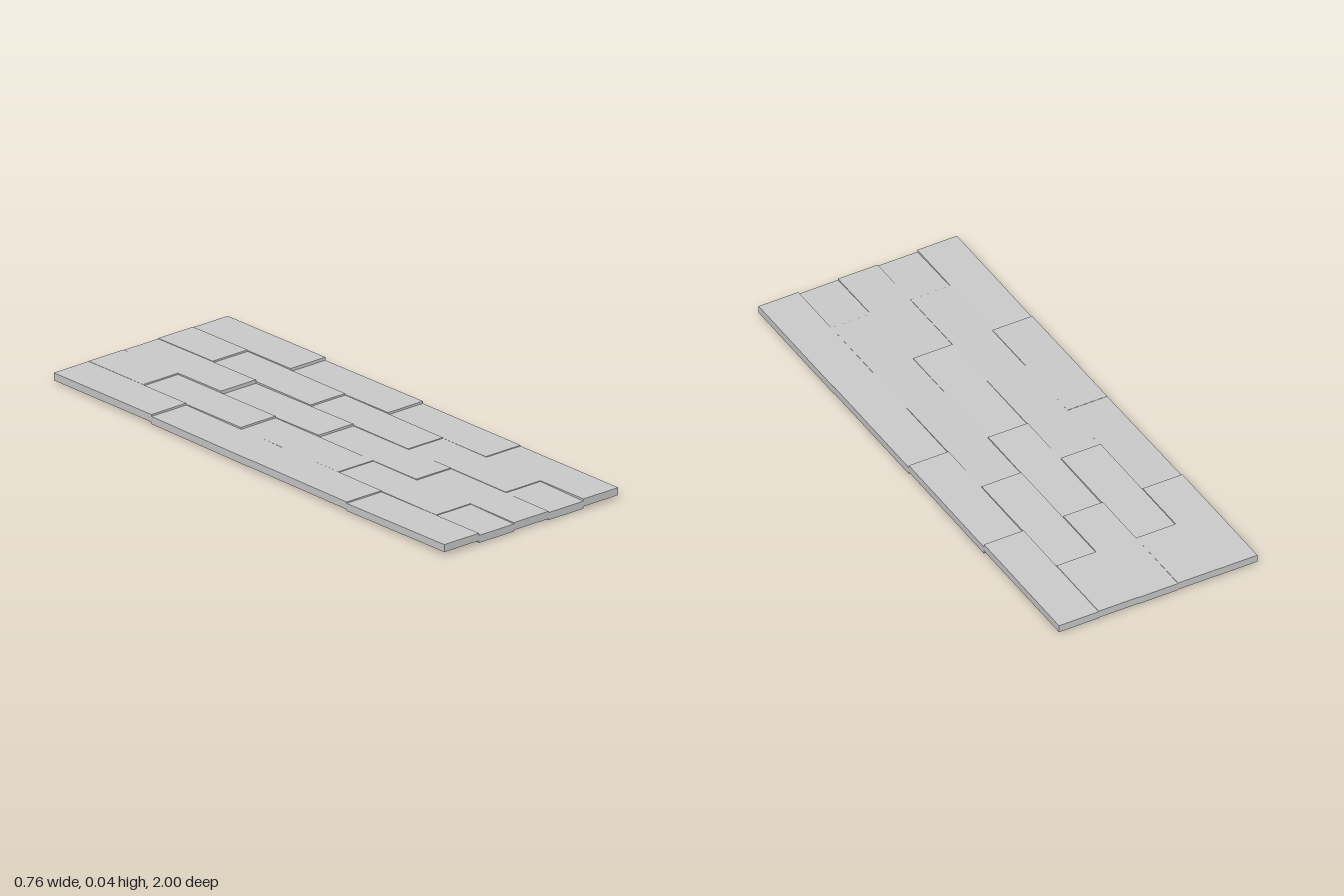
import * as THREE from 'three';

const WIDTH = 0.153, THICK = 0.027;

// Rows of planks from the front end to the back end: z of the seams,
// and for each plank the underside height at its front and back ends.
const EVEN = [1, 0.5, 0, -0.5, -1];
const STAGGERED = [1, 0.78, 0.28, -0.22, -0.72, -1];
const ROWS = [
  { seams: EVEN, ends: [[0.012, 0.004], [0.009, 0.006], [0.005, 0.004], [0.011, 0.005]] },
  { seams: STAGGERED, ends: [[0.004, 0.006], [0.009, 0.005], [0.008, 0.004], [0.011, 0.004], [0.009, 0.006]] },
  { seams: EVEN, ends: [[0.009, 0.005], [0.009, 0.003], [0.011, 0], [0.013, 0.004]] },
  { seams: STAGGERED, ends: [[0.004, 0.006], [0.009, 0.005], [0.008, 0.004], [0.01, 0.005], [0.011, 0.006]] },
  { seams: EVEN, ends: [[0.012, 0.005], [0.008, 0.002], [0.01, 0.001], [0.012, 0.004]] },
];

// A box whose ends rest at different heights
function plank(x, zFront, zBack, yFront, yBack, material) {
  const geometry = new THREE.BoxGeometry(WIDTH, THICK, zFront - zBack);
  const p = geometry.attributes.position;
  for (let i = 0; i < p.count; i++) {
    p.setY(i, p.getY(i) + THICK / 2 + (p.getZ(i) > 0 ? yFront : yBack));
  }
  geometry.computeVertexNormals();
  const mesh = new THREE.Mesh(geometry, material);
  mesh.position.set(x, 0, (zFront + zBack) / 2);
  return mesh;
}

export function createModel() {
  const model = new THREE.Group();
  model.name = 'plankFloor';
  const material = new THREE.MeshStandardMaterial({ color: 0xcccccc, flatShading: true });

  ROWS.forEach(({ seams, ends }, r) => {
    const row = new THREE.Group();
    row.name = `plankRow${r + 1}`;
    ends.forEach(([yFront, yBack], i) => {
      const mesh = plank((r - 2) * WIDTH, seams[i], seams[i + 1], yFront, yBack, material);
      mesh.name = `plank${i + 1}`;
      row.add(mesh);
    });
    model.add(row);
  });
  return model;
}
